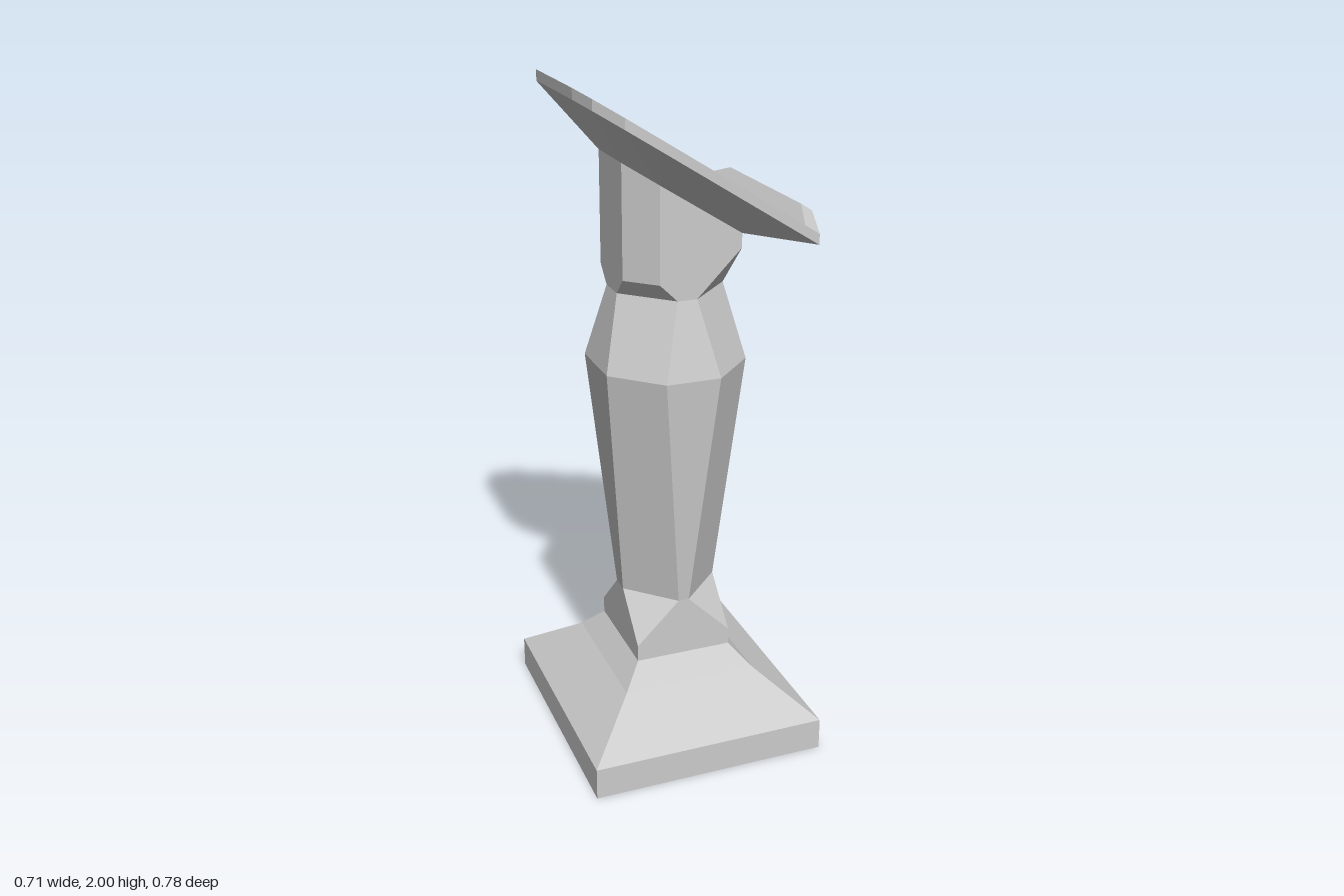
import * as THREE from 'three';

const material = new THREE.MeshStandardMaterial({ color: 0xcccccc, flatShading: true });

// Closed solid through rings of [x, y, z] points, each ring running from +x towards +z
function loft(name, rings) {
  const pos = [];
  const v = (p) => new THREE.Vector3(...p);
  const tri = (a, b, c) => {
    const area = v(b).sub(v(a)).cross(v(c).sub(v(a))).length();
    if (area > 1e-7) pos.push(...a, ...b, ...c);
  };
  const n = rings[0].length;
  for (let r = 0; r < rings.length - 1; r++) {
    const lo = rings[r], hi = rings[r + 1];
    for (let i = 0; i < n; i++) {
      const j = (i + 1) % n;
      tri(lo[i], hi[i], lo[j]);
      tri(lo[j], hi[i], hi[j]);
    }
  }
  const first = rings[0], last = rings[rings.length - 1];
  for (let i = 1; i < n - 1; i++) {
    tri(first[0], first[i], first[i + 1]);
    tri(last[0], last[i + 1], last[i]);
  }
  const geo = new THREE.BufferGeometry();
  geo.setAttribute('position', new THREE.Float32BufferAttribute(pos, 3));
  geo.computeVertexNormals();
  const mesh = new THREE.Mesh(geo, material);
  mesh.name = name;
  return mesh;
}

// Completes a ring from its +z half by mirroring across z
const mirrorZ = (half) => [...half, ...half.slice().reverse().map(([x, y, z]) => [x, y, -z])];

// Rectangle with half sizes hx, hz
const square = (y, hx, hz) => mirrorZ([[hx, y, hz], [-hx, y, hz]]);

// Rectangle with cut corners; fx, fz are the half lengths of the flats left over
const octagon = (y, hx, hz, fx = hx, fz = hz) =>
  mirrorZ([[hx, y, fz], [fx, y, hz], [-fx, y, hz], [-hx, y, fz]]);

const SLOPE = 0.629;
// Lifts [x, z] points on to the tilted plane of the desk
const tilted = (y, points) => mirrorZ(points.map(([x, z]) => [x, y - SLOPE * x, z]));

export function createModel() {
  const group = new THREE.Group();
  group.name = 'lectern';

  // Square plinth with a two-step slope
  group.add(loft('base', [
    square(0, 0.357, 0.388),
    square(0.097, 0.357, 0.388),
    square(0.22, 0.205, 0.22),
    square(0.285, 0.147, 0.16),
  ]));

  // Pillar: square foot, chamfered shaft, shoulder
  group.add(loft('pillar', [
    octagon(0.285, 0.147, 0.16),
    octagon(0.335, 0.147, 0.16),
    octagon(0.465, 0.147, 0.16, 0.016, 0.028),
    octagon(1.19, 0.212, 0.23, 0.081, 0.1),
    octagon(1.41, 0.16, 0.175, 0.029, 0.044),
  ]));

  // Neck: square at the low side, chamfered at the high side, cut at the desk's tilt
  const neckTop = [[0.16, 0.175], [0.16, 0.175], [-0.08, 0.175], [-0.16, 0.095]];
  group.add(loft('neck', [
    octagon(1.41, 0.16, 0.175, 0.029, 0.044),
    mirrorZ([[0.16, 1.543, 0.175], [0.16, 1.543, 0.175], [-0.08, 1.46, 0.175], [-0.16, 1.46, 0.095]]),
    tilted(1.685, neckTop),
  ]));

  // Tilted desk with rounded upper corners and a bevelled underside
  const outline = [[0.312, 0.34], [-0.135, 0.34], [-0.225, 0.317], [-0.288, 0.25], [-0.312, 0.16]];
  const underside = [[0.16, 0.175], [-0.08, 0.175], [-0.08, 0.175], [-0.16, 0.095], [-0.16, 0.095]];
  group.add(loft('desk', [
    tilted(1.685, underside),
    tilted(1.775, outline),
    tilted(1.805, outline),
  ]));

  // Tapered stop along the desk's low edge
  group.add(loft('bookStop', [
    mirrorZ([[0.312, 1.609, 0.34], [0.268, 1.636, 0.34]]),
    mirrorZ([[0.335, 1.648, 0.242], [0.302, 1.669, 0.242]]),
  ]));

  return group;
}
